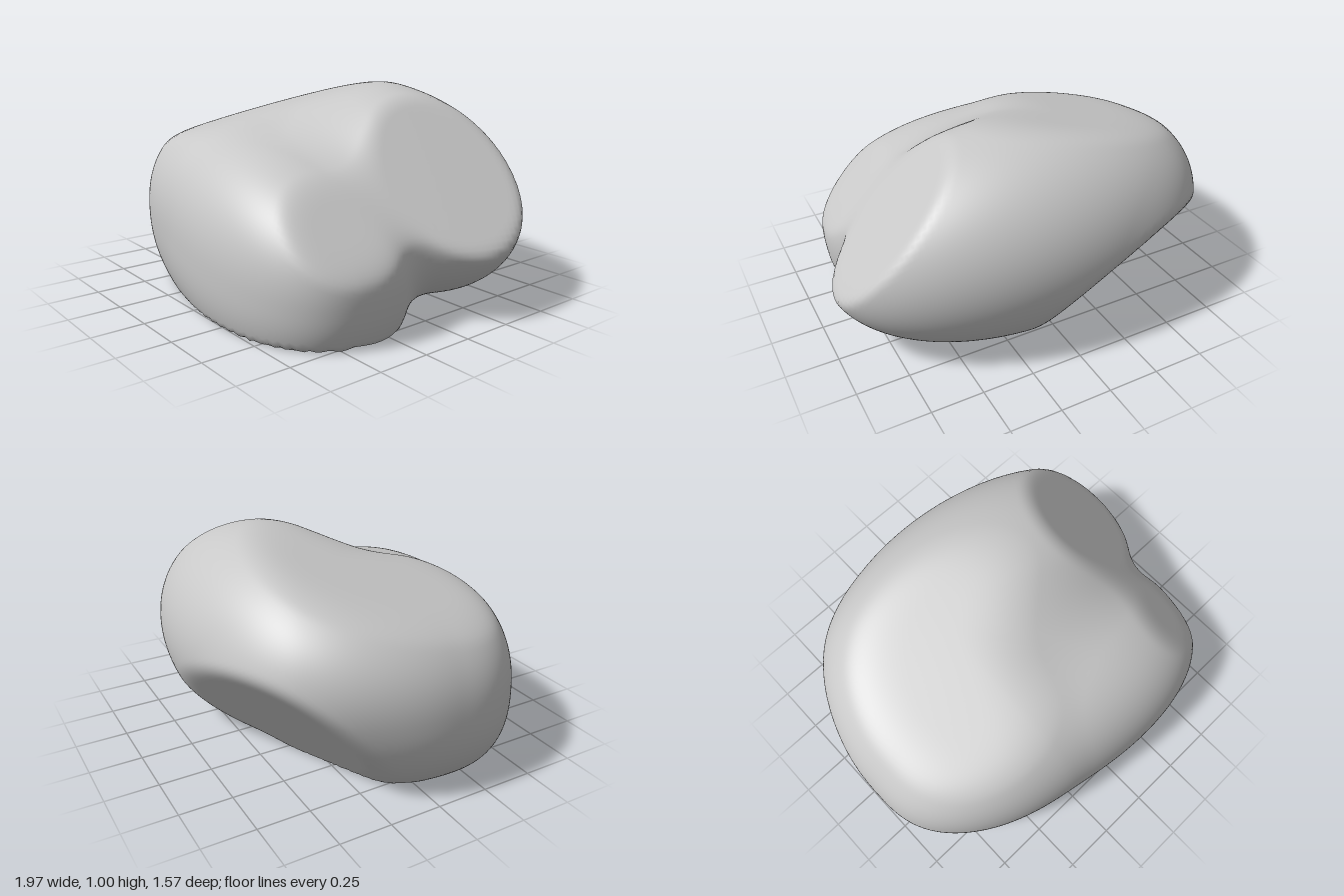
import * as THREE from 'three';
import { mergeVertices } from 'three/addons/utils/BufferGeometryUtils.js';

// Rounded lobes: centre, radii, turn about y, downward tilt to +x, squareness
const frontLobe = { c: [-0.065, 0.28, 0.27], r: [0.92, 0.515, 0.495], turn: 0.165, tilt: 0.12, p: 2.4 };
const backLobe = { c: [0.085, 0.495, -0.265], r: [0.925, 0.51, 0.51], turn: 0.08, tilt: 0.08, p: 2 };
const sideLobe = { c: [-0.39, 0.41, -0.06], r: [0.43, 0.4, 0.56], turn: 0, tilt: 0, p: 2 };

// Flat faces: outward normal and distance
const sideFace = { n: [0.71, 0.67, 0.185], d: 0.885 };
const lowBackFace = { n: [-0.33, -0.59, -0.735], d: 0.34 };
const topFace = { n: [-0.2, 0.96, 0.17], d: 0.9 };
const base = { n: [0, -1, 0], d: 0 };

function lobeDistance(l, v) {
  const dx = v.x - l.c[0], dy = v.y - l.c[1], dz = v.z - l.c[2];
  const co = Math.cos(l.turn), si = Math.sin(l.turn);
  const ct = Math.cos(l.tilt), st = Math.sin(l.tilt);
  const along = dx * co + dz * si;
  const q = [along * ct - dy * st, along * st + dy * ct, dz * co - dx * si];
  const sum = q.reduce((s, a, i) => s + Math.abs(a / l.r[i]) ** l.p, 0);
  return (sum ** (1 / l.p) - 1) * 0.5;
}

const planeDistance = (f, v) => f.n[0] * v.x + f.n[1] * v.y + f.n[2] * v.z - f.d;

function blend(a, b, k) {
  const h = Math.max(k - Math.abs(a - b), 0) / k;
  return Math.min(a, b) - h * h * k * 0.25;
}

const trim = (a, b, k) => -blend(-a, -b, k);

// Blended lobes with softly trimmed faces; negative inside
function stoneDistance(v) {
  let d = blend(lobeDistance(backLobe, v), lobeDistance(sideLobe, v), 0.2);
  // The valley between the lobes sharpens towards +x
  const softness = THREE.MathUtils.clamp(0.25 - 0.18 * v.x, 0.1, 0.3);
  d = blend(d, lobeDistance(frontLobe, v), softness);
  d = trim(d, planeDistance(sideFace, v), 0.03);
  d = trim(d, planeDistance(topFace, v), 0.05);
  d = trim(d, planeDistance(lowBackFace, v), 0.03);
  return Math.max(d, planeDistance(base, v));
}

export function createModel() {
  const group = new THREE.Group();
  group.name = 'rock';
  const stone = new THREE.MeshStandardMaterial({ color: 0xc8c8c8 });
  stone.name = 'stone grey';

  // Push each point of a sphere out to the stone's surface
  const ball = new THREE.IcosahedronGeometry(1, 44);
  ball.deleteAttribute('normal');
  ball.deleteAttribute('uv');
  const geometry = mergeVertices(ball, 1e-5);
  const pos = geometry.attributes.position;
  const centre = new THREE.Vector3(-0.03, 0.42, -0.01);
  const dir = new THREE.Vector3(), point = new THREE.Vector3();
  for (let i = 0; i < pos.count; i++) {
    dir.fromBufferAttribute(pos, i).normalize();
    let near = 0, far = 1.6;
    for (let s = 0; s < 26; s++) {
      const mid = (near + far) / 2;
      point.copy(centre).addScaledVector(dir, mid);
      if (stoneDistance(point) < 0) near = mid; else far = mid;
    }
    point.copy(centre).addScaledVector(dir, near);
    pos.setXYZ(i, point.x, point.y, point.z);
  }
  geometry.computeVertexNormals();

  const mesh = new THREE.Mesh(geometry, stone);
  mesh.name = 'boulder';
  group.add(mesh);
  return group;
}
